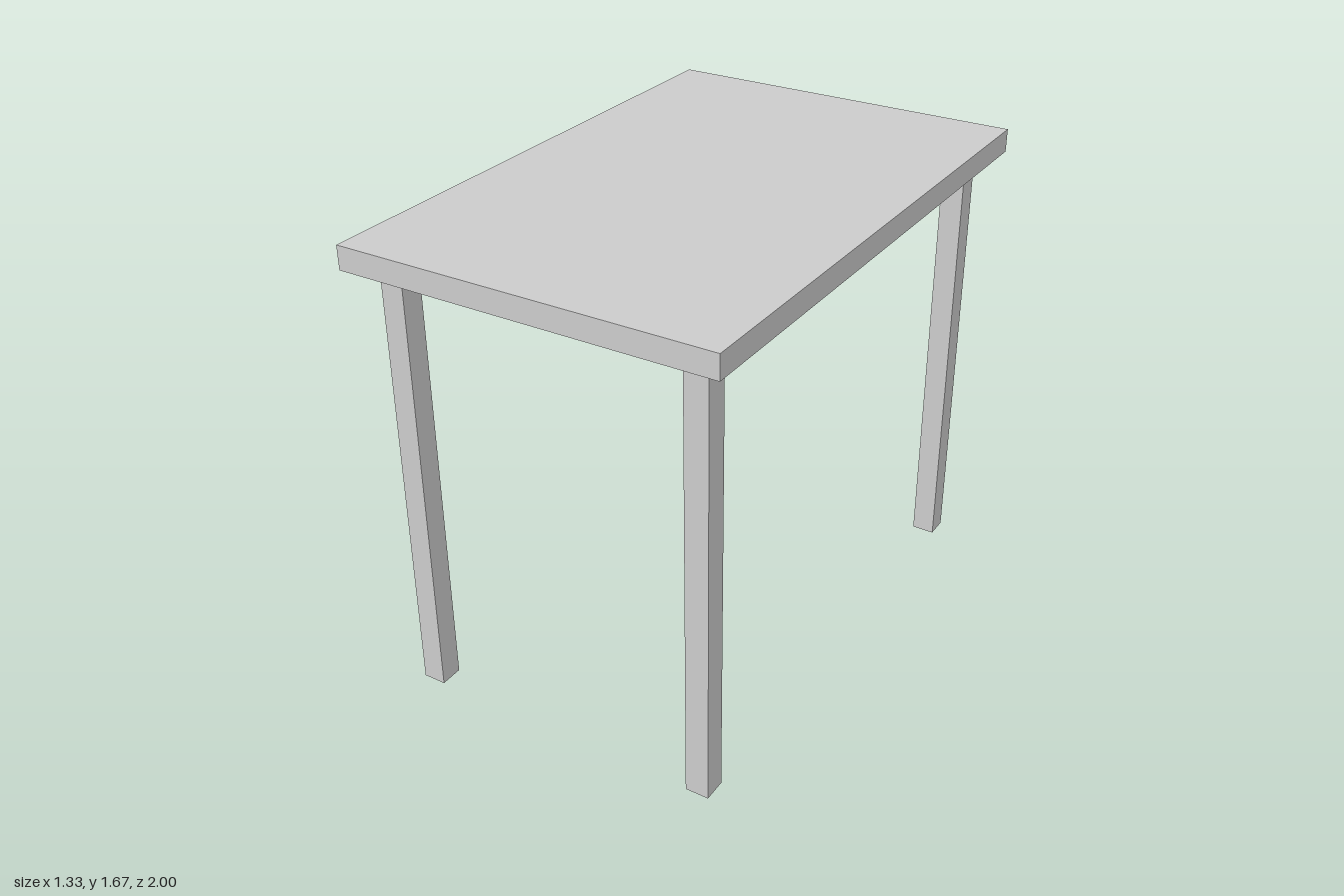
import * as THREE from 'three';

export function createModel() {
  const width = 4 / 3, depth = 2, height = 5 / 3;
  const thickness = 1 / 12; // slab thickness and leg width
  const inset = 1 / 12;     // gap between slab edge and legs
  const legHeight = height - thickness;

  const material = new THREE.MeshStandardMaterial({ color: 0xcccccc });
  const table = new THREE.Group();
  table.name = 'table';

  // Flat rectangular slab
  const top = new THREE.Mesh(new THREE.BoxGeometry(width, thickness, depth), material);
  top.name = 'tabletop';
  top.position.y = height - thickness / 2;
  table.add(top);

  // Four square legs, mirrored about both axes
  const legGeometry = new THREE.BoxGeometry(thickness, legHeight, thickness);
  const legX = width / 2 - inset - thickness / 2;
  const legZ = depth / 2 - inset - thickness / 2;
  for (const [sx, side] of [[1, 'Left'], [-1, 'Right']]) {
    for (const [sz, end] of [[1, 'front'], [-1, 'back']]) {
      const leg = new THREE.Mesh(legGeometry, material);
      leg.name = `${end}${side}Leg`;
      leg.position.set(sx * legX, legHeight / 2, sz * legZ);
      table.add(leg);
    }
  }
  return table;
}
